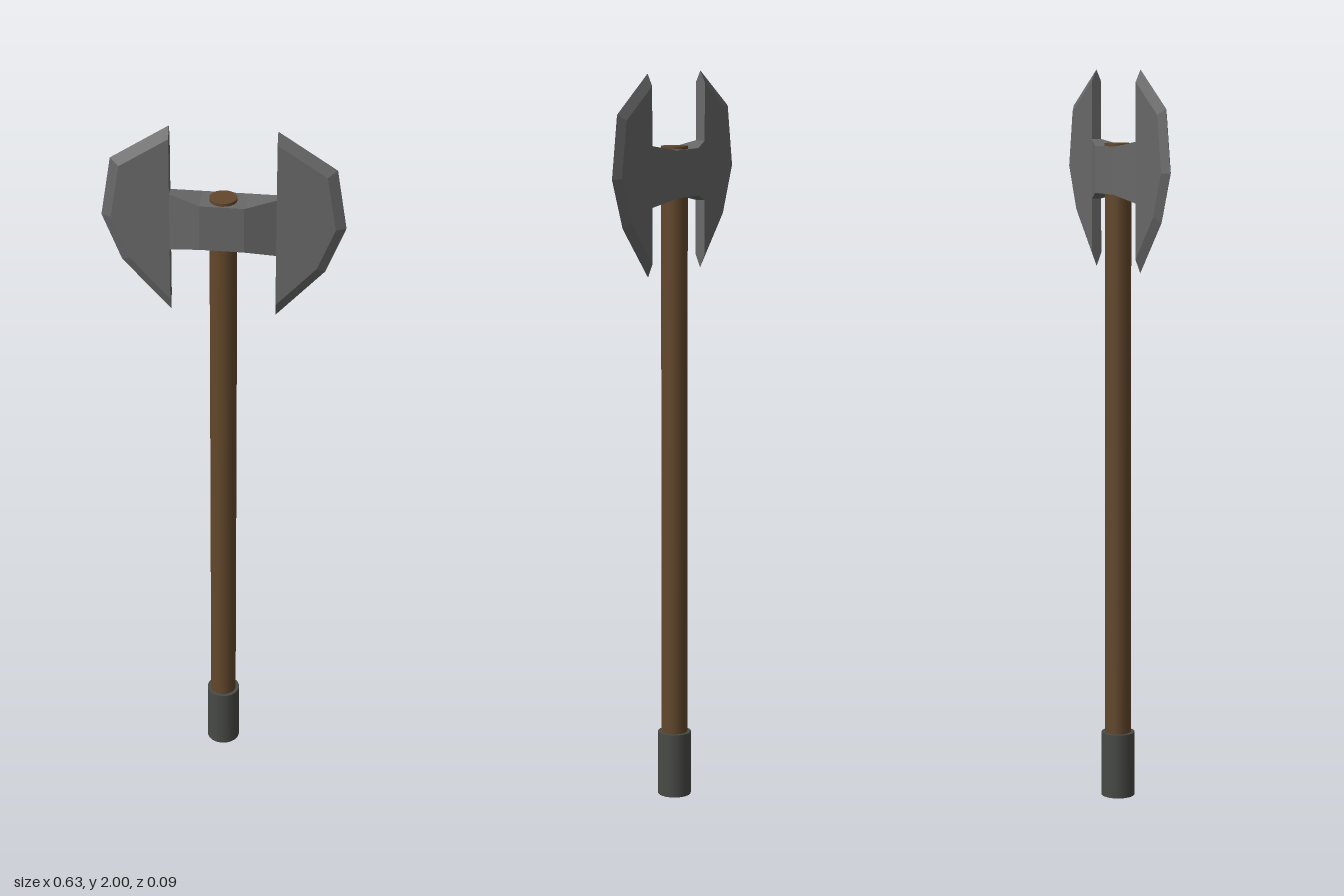
import * as THREE from 'three';
import { ConvexGeometry } from 'three/addons/geometries/ConvexGeometry.js';

const EDGE = 0.014; // half thickness of the blades
const ROOT = 0.138; // where each blade meets its arm

// faceted solid spanning the given [x, y, z] corners
function solid(corners) {
  return new ConvexGeometry(corners.map((c) => new THREE.Vector3(...c)));
}

// four corners of an upright rectangle at x
function section(x, low, high, depth) {
  return [[x, low, -depth], [x, low, depth], [x, high, depth], [x, high, -depth]];
}

export function createModel() {
  const group = new THREE.Group();
  const steel = new THREE.MeshStandardMaterial({ color: 0x686868 });
  steel.name = 'steel';
  const wood = new THREE.MeshStandardMaterial({ color: 0x62472b });
  wood.name = 'wood';
  const darkIron = new THREE.MeshStandardMaterial({ color: 0x484a46 });
  darkIron.name = 'dark iron';

  function add(name, geometry, material, y = 0) {
    const mesh = new THREE.Mesh(geometry, material);
    mesh.name = name;
    mesh.position.y = y;
    group.add(mesh);
  }

  // wooden shaft and its end cap
  add('shaft', new THREE.CylinderGeometry(0.036, 0.036, 1.7, 20), wood, 0.955);
  add('pommel', new THREE.CylinderGeometry(0.046, 0.046, 0.18, 20), darkIron, 0.09);

  // block around the shaft
  add('headSocket', new THREE.BoxGeometry(0.116, 0.127, 0.082), steel, 1.7335);

  // blade outline: sharp rim and the inset line where the bevel starts
  const rim = [[ROOT, 2], [0.29, 1.9], [0.316, 1.735], [0.265, 1.605], [ROOT, 1.465]];
  const inset = [[ROOT, 1.968], [0.266, 1.884], [0.29, 1.735], [0.243, 1.618], [ROOT, 1.502]];

  for (const [side, s] of [['left', 1], ['right', -1]]) {
    // arm flaring in height and thinning towards the blade
    add(side + 'Arm', solid([
      ...section(s * 0.058, 1.67, 1.797, 0.041),
      ...section(s * ROOT, 1.65, 1.812, EDGE),
    ]), steel);
    // bevelled blade
    const corners = rim.map(([x, y]) => [s * x, y, 0]);
    for (const [x, y] of inset) corners.push([s * x, y, EDGE], [s * x, y, -EDGE]);
    add(side + 'Blade', solid(corners), steel);
  }
  return group;
}
